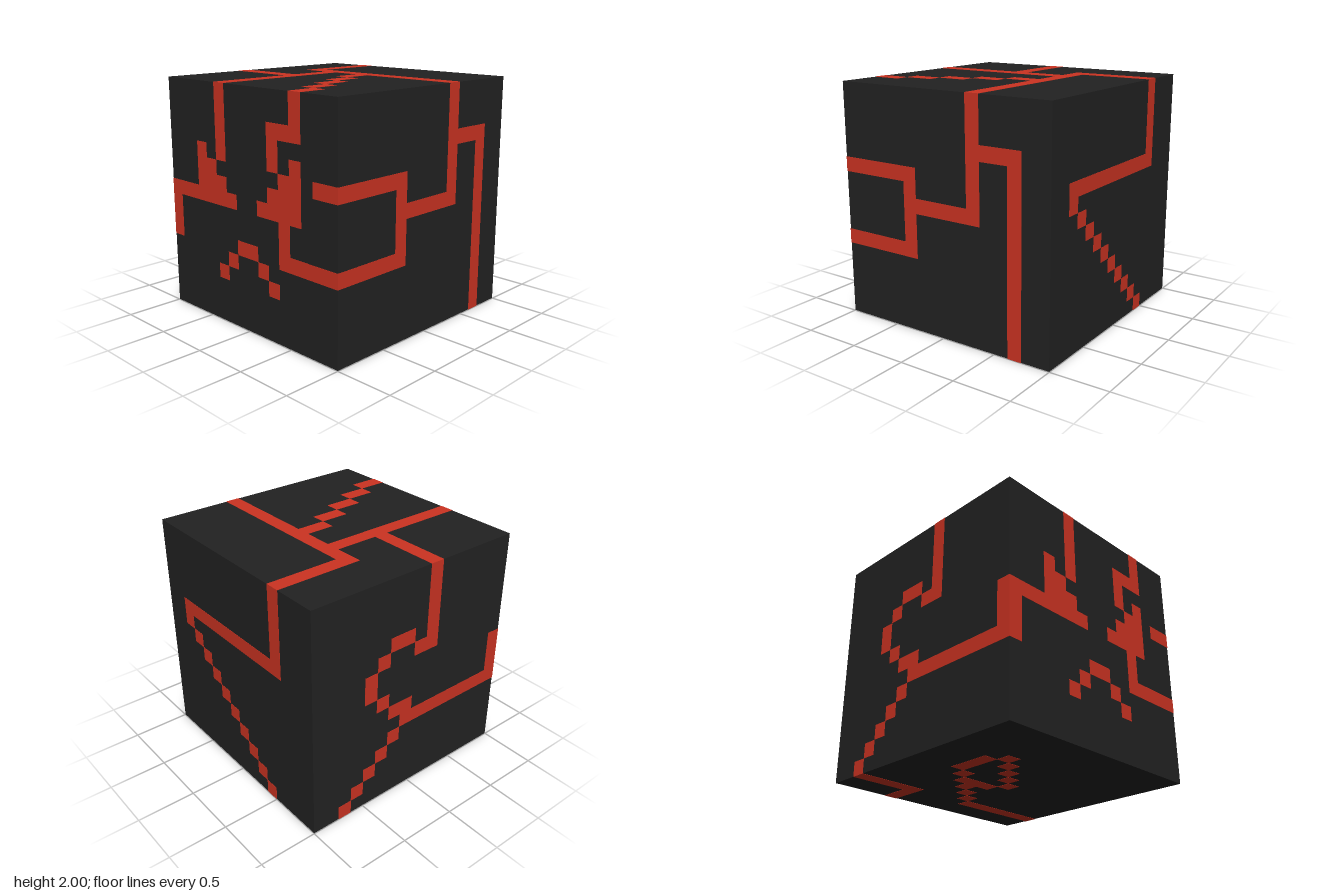
import * as THREE from 'three';
import { mergeGeometries } from 'three/addons/utils/BufferGeometryUtils.js';

const CELL = 0.125;    // each cube side is a 16 x 16 grid
const DEPTH = 0.004;   // thickness of the inlaid markings
const PROUD = 0.002;   // how far they stand out of the block

// Thin square plate over one grid cell, counted from the side's upper left
function plate(col, row) {
  const geometry = new THREE.BoxGeometry(CELL, CELL, DEPTH);
  return geometry.translate((col + 0.5) * CELL - 1, 1 - (row + 0.5) * CELL, 1 - DEPTH / 2);
}

// Plates along a path of corner cells (col, row, col, row, ...); slanted legs become stairs
function path(...points) {
  const plates = [];
  for (let k = 0; k + 3 < points.length; k += 2) {
    const [c0, r0, c1, r1] = points.slice(k, k + 4);
    const count = Math.max(Math.abs(c1 - c0), Math.abs(r1 - r0));
    for (let i = 0; i <= count; i++) {
      const t = i / count;
      plates.push(plate(Math.round(c0 + (c1 - c0) * t), Math.round(r0 + (r1 - r0) * t)));
    }
  }
  return plates;
}

// Triangular eye, its tall side at the given column, narrowing in direction dir
const eye = (col, dir) => [
  ...path(col, 4, col + 3 * dir, 7, col, 7, col, 4),
  plate(col + dir, 6),
];

export function createModel() {
  const charcoal = new THREE.MeshStandardMaterial({ name: 'charcoal', color: 0x222222 });
  const red = new THREE.MeshStandardMaterial({ name: 'red', color: 0xcc3322 });

  const model = new THREE.Group();
  model.name = 'markedCube';

  // Solid block
  const size = 2 - 2 * PROUD;
  const block = new THREE.Mesh(new THREE.BoxGeometry(size, size, size), charcoal);
  block.name = 'block';
  block.position.y = 1;
  model.add(block);

  // Markings of one part, turned onto their side of the block
  function addMarkings(name, rotX, rotY, rotZ, ...runs) {
    const markings = new THREE.Mesh(mergeGeometries(runs.flat()), red);
    markings.name = name;
    markings.rotation.set(rotX, rotY, rotZ);
    markings.position.y = 1;
    model.add(markings);
  }
  const quarter = Math.PI / 2;

  // Front: face and the lines leading to it
  addMarkings('rightEye', 0, 0, 0, eye(3, 1));
  addMarkings('leftEye', 0, 0, 0, eye(12, -1));
  addMarkings('mouth', 0, 0, 0, path(5, 12, 7, 10, 8, 10, 10, 12));
  addMarkings('foreheadLines', 0, 0, 0,
    path(5, 0, 5, 4),
    path(12, 0, 12, 2, 10, 2, 10, 4));
  addMarkings('cheekLines', 0, 0, 0,
    path(2, 7, 0, 7, 0, 10),
    path(11, 8, 11, 10, 15, 10),
    path(14, 5, 15, 5));

  // Left side
  addMarkings('leftLines', 0, quarter, 0,
    path(0, 5, 5, 5, 5, 10, 0, 10),
    path(5, 7, 10, 7, 10, 0),
    path(10, 3, 13, 3, 13, 15));

  // Back
  addMarkings('backLines', 0, Math.PI, 0,
    path(12, 0, 12, 5, 2, 5, 2, 6, 11, 15));

  // Right side
  addMarkings('rightLines', 0, -quarter, 0,
    path(9, 0, 9, 5, 8, 5),
    path(7, 4, 6, 4, 4, 6, 4, 7, 6, 9, 7, 9),
    path(15, 7, 15, 10, 7, 10, 2, 15));

  // Top
  addMarkings('topLines', -quarter, 0, 0,
    path(3, 0, 3, 5, 15, 5),
    path(5, 5, 5, 15),
    path(0, 9, 5, 9),
    path(8, 6, 12, 15));

  // Bottom
  addMarkings('bottomLines', quarter, 0, Math.PI,
    path(0, 2, 6, 2, 12, 8, 12, 10),
    path(8, 6, 9, 6),
    path(7, 7, 11, 11),
    path(11, 0, 11, 2, 15, 2));

  return model;
}
